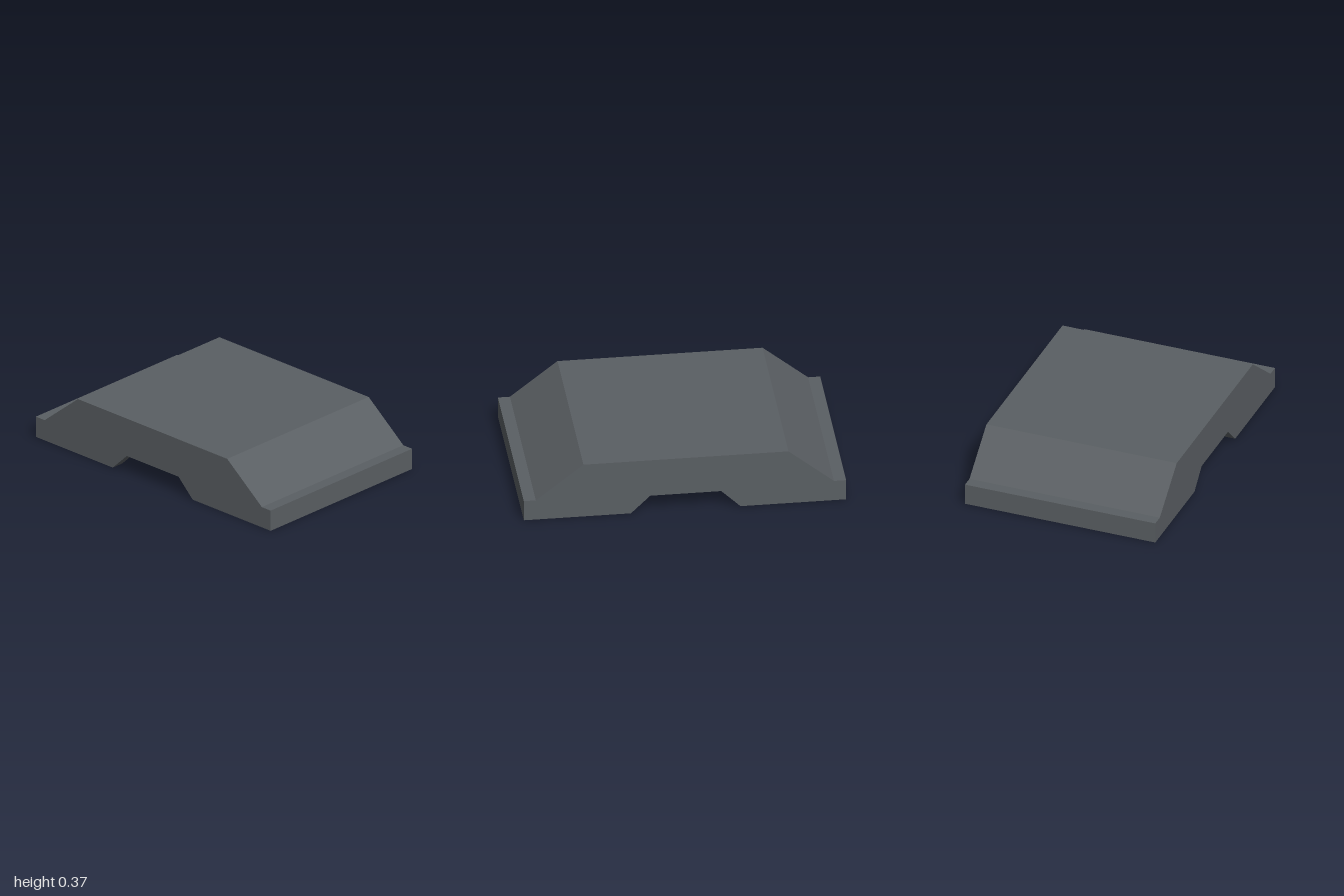
import * as THREE from 'three';

const flat = (name, color) => {
  const m = new THREE.MeshStandardMaterial({ color });
  m.name = name;
  return m;
};

// Outline points are [z, y]
const OUTER = [[1, 0], [1, 0.137], [0.925, 0.137], [0.63, 0.37], [-0.642, 0.37], [-0.925, 0.137], [-1, 0.137], [-1, 0]];
const ARCH = [[-0.345, 0], [-0.225, 0.117], [0.215, 0.117], [0.335, 0]];
const CAVITY = [[-0.915, 0], [-0.915, 0.02], [-0.61, 0.295], [0.6, 0.295], [0.91, 0.02], [0.91, 0]];

const HALF = 0.63, WALL = 0.085, RIB = 0.06;

export function createModel() {
  const group = new THREE.Group();
  const hull = flat('hull grey', 0x5a5f63);
  const steel = flat('roller grey', 0x54585a);
  const brown = flat('burnt orange', 0x824617);
  const plum = flat('dark plum', 0x352a32);
  const red = flat('red', 0xb4362c);

  // Extrudes a side outline from x0 to x1
  const slab = (name, points, x0, x1) => {
    const shape = new THREE.Shape(points.map(([z, y]) => new THREE.Vector2(z, y)));
    const geo = new THREE.ExtrudeGeometry(shape, { depth: x1 - x0, bevelEnabled: false });
    geo.rotateY(-Math.PI / 2).translate(x1, 0, 0);
    const mesh = new THREE.Mesh(geo, hull);
    mesh.name = name;
    group.add(mesh);
  };

  // Arched side walls and middle rib
  const wall = [...OUTER, ...ARCH];
  slab('leftWall', wall, HALF - WALL, HALF);
  slab('middleRib', wall, -RIB, RIB);
  slab('rightWall', wall, -HALF, WALL - HALF);

  // Hollow roof and end walls between them
  const shell = [...OUTER, ...CAVITY];
  slab('leftShell', shell, RIB, HALF - WALL);
  slab('rightShell', shell, WALL - HALF, -RIB);

  // Rollers across each bay, in coloured lengths
  const segments = [
    ['leftRollerBand', brown, 0.43, 0.525],
    ['leftRoller', steel, 0.08, 0.43],
    ['rightRoller', steel, -0.22, -0.08],
    ['rightRollerEdge', red, -0.228, -0.22],
    ['rightRollerBand', plum, -0.405, -0.228],
    ['rightRollerStripe', red, -0.417, -0.405],
    ['rightRollerGap', plum, -0.437, -0.417],
    ['rightRollerStripe', red, -0.449, -0.437],
    ['rightRollerEnd', steel, -0.525, -0.449],
  ];
  for (const z of [0.49, -0.48]) {
    const axle = new THREE.Group();
    axle.name = z > 0 ? 'frontRollers' : 'backRollers';
    axle.position.set(0, 0.113, z);
    for (const [name, material, x0, x1] of segments) {
      const geo = new THREE.CylinderGeometry(0.09, 0.09, x1 - x0, 32);
      geo.rotateZ(Math.PI / 2).translate((x0 + x1) / 2, 0, 0);
      const mesh = new THREE.Mesh(geo, material);
      mesh.name = name;
      axle.add(mesh);
    }
    group.add(axle);
  }
  return group;
}
